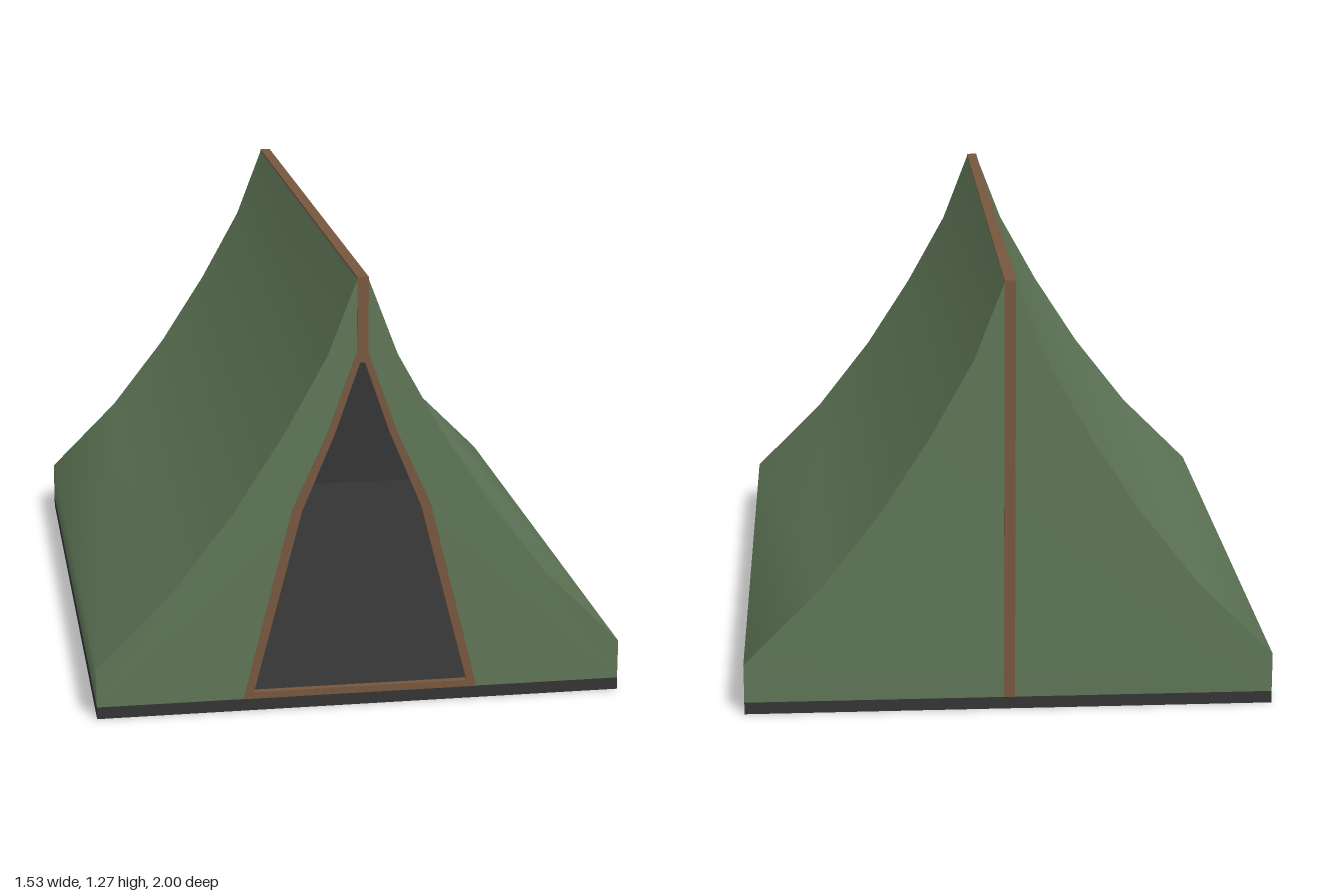
import * as THREE from 'three';

const canvas = new THREE.MeshStandardMaterial({ name: 'greenCanvas', color: 0x5f7657 });
const trim = new THREE.MeshStandardMaterial({ name: 'brownTrim', color: 0x77573f });
const dark = new THREE.MeshStandardMaterial({ name: 'darkLining', color: 0x343434 });

const HALF = 0.998;    // half length of the canvas
const BASE = 0.035;    // top of the groundsheet rim

// Sagging roof profile from the ground to the ridge (right half)
const profile = [
  [0.765, BASE], [0.765, 0.15], [0.545, 0.37], [0.37, 0.595],
  [0.225, 0.82], [0.1, 1.045], [0.015, 1.266],
];
const doorOuter = [[0.342, BASE], [0.2, 0.6], [0.1, 0.82], [0.018, 1.05]];
const doorInner = [[0.312, 0.055], [0.172, 0.595], [0.078, 0.82], [0.007, 1.025]];

// Closed symmetric outline from its right half
function outline(half, Kind = THREE.Shape) {
  const pts = [...half, ...half.map(([x, y]) => [-x, y]).reverse()];
  return new Kind(pts.map(([x, y]) => new THREE.Vector2(x, y)));
}

// Smooth sheet running the length of the tent, facing out or in
function sheet(points, side, inward, halfLength) {
  const pos = [], index = [];
  points.forEach(([x, y], i) => {
    pos.push(side * x, y, -halfLength, side * x, y, halfLength);
    if (i === 0) return;
    const a = 2 * i - 2, b = a + 1, c = a + 2, d = a + 3;
    if ((side > 0) !== inward) index.push(a, c, b, b, c, d);
    else index.push(a, b, c, b, d, c);
  });
  const g = new THREE.BufferGeometry();
  g.setAttribute('position', new THREE.Float32BufferAttribute(pos, 3));
  g.setIndex(index);
  g.computeVertexNormals();
  return g;
}

// Rectangular ring lying flat, standing on y = 0
function ring(halfX, halfZ, width, height) {
  const rect = (Kind, x, z) => new Kind([[x, z], [-x, z], [-x, -z], [x, -z]]
    .map(([u, v]) => new THREE.Vector2(u, v)));
  const s = rect(THREE.Shape, halfX, halfZ);
  s.holes.push(rect(THREE.Path, halfX - width, halfZ - width));
  return new THREE.ExtrudeGeometry(s, { depth: height, bevelEnabled: false }).rotateX(-Math.PI / 2);
}

export function createModel() {
  const tent = new THREE.Group();
  tent.name = 'tent';
  const add = (name, geometry, material, x = 0, y = 0, z = 0) => {
    const m = new THREE.Mesh(geometry, material);
    m.name = name;
    m.position.set(x, y, z);
    tent.add(m);
    return m;
  };

  // Roof sides and their dark lining
  const inner = profile.map(([x, y]) => [Math.max(x - 0.015, 0), y]);
  for (const [name, side] of [['left', 1], ['right', -1]]) {
    add(name + 'Roof', sheet(profile, side, false, HALF), canvas);
    add(name + 'Lining', sheet(inner, side, true, HALF - 0.01), dark);
  }

  // Front wall with the door opening, closed back wall
  const frontShape = outline(profile);
  frontShape.holes.push(outline(doorInner, THREE.Path));
  const backShape = outline(profile);
  const liningShape = outline(inner);
  const frontLiningShape = outline(inner);
  frontLiningShape.holes.push(outline(doorInner, THREE.Path));
  add('frontWall', new THREE.ShapeGeometry(frontShape), canvas, 0, 0, HALF);
  add('frontLining', new THREE.ShapeGeometry(frontLiningShape), dark, 0, 0, HALF - 0.015).rotation.y = Math.PI;
  add('backWall', new THREE.ShapeGeometry(backShape), canvas, 0, 0, -HALF).rotation.y = Math.PI;
  add('backLining', new THREE.ShapeGeometry(liningShape), dark, 0, 0, -HALF + 0.015);

  // Door frame
  const frame = outline(doorOuter);
  frame.holes.push(outline(doorInner, THREE.Path));
  add('doorFrame', new THREE.ExtrudeGeometry(frame, { depth: 0.02, bevelEnabled: false }), trim, 0, 0, 0.98);

  // Seams on both ends and along the ridge
  add('frontSeam', new THREE.BoxGeometry(0.032, 0.225, 0.006), trim, 0, 1.1575, 0.997);
  add('backSeam', new THREE.BoxGeometry(0.032, 1.27 - BASE, 0.006), trim, 0, (1.27 + BASE) / 2, -0.997);
  add('ridgeSeam', new THREE.BoxGeometry(0.032, 0.008, 2), trim, 0, 1.266, 0);

  // Groundsheet: outer rim, canvas hem inside it, raised floor
  add('groundRim', ring(0.765, 1, 0.03, BASE), dark);
  add('innerHem', ring(0.735, 0.97, 0.004, BASE), canvas);
  add('floor', new THREE.BoxGeometry(1.5, 0.006, 1.966), dark, 0, BASE + 0.003, 0);

  return tent;
}
